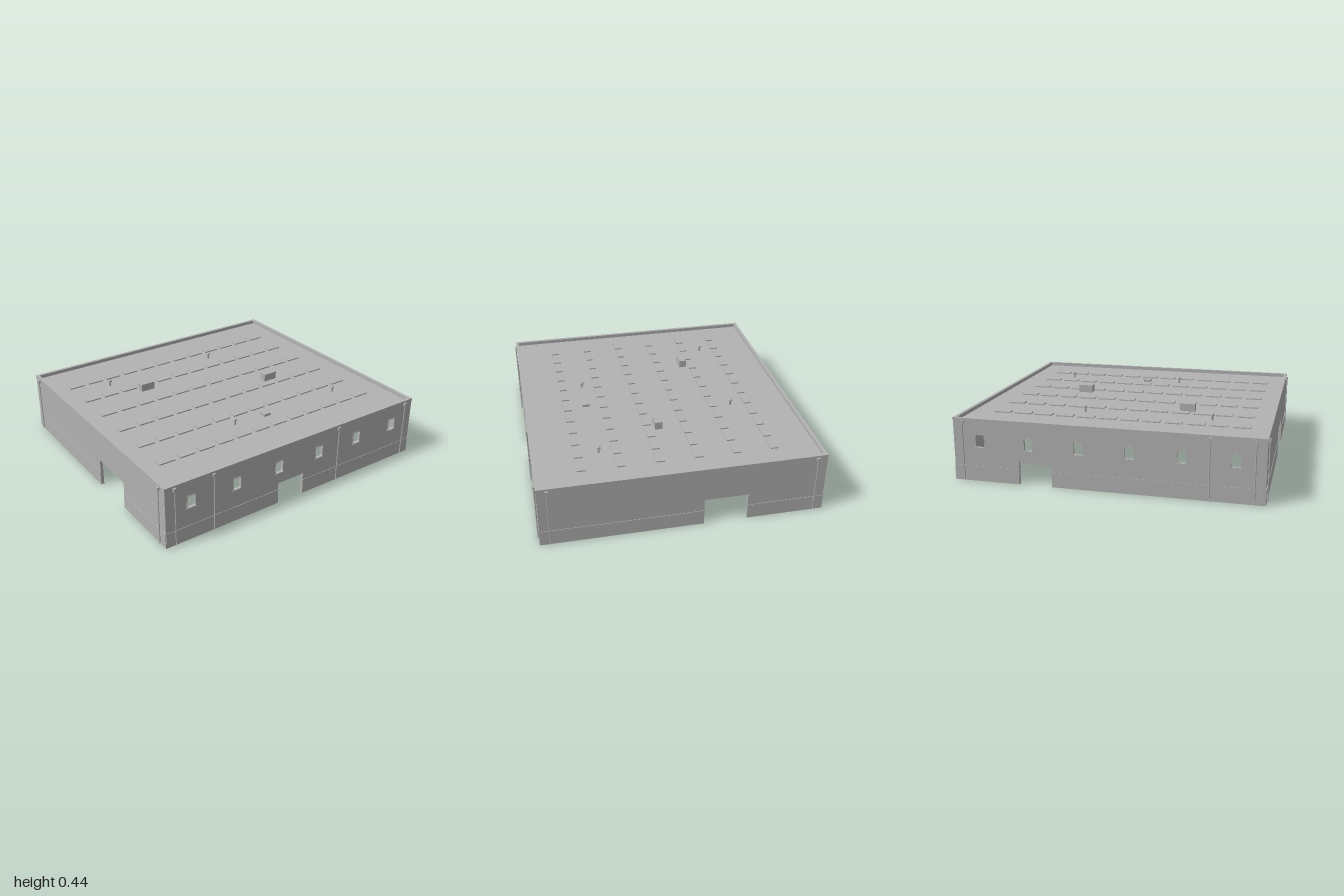
import * as THREE from 'three';

const X = 0.985, Z = 0.9, H = 0.41, T = 0.018, ROOF = 0.385;
const PITCH = 0.245;            // spacing of roof beams
const BAY = 0.323;              // spacing of windows
const concrete = new THREE.MeshStandardMaterial({ color: 0xb2b2b2 });
concrete.name = 'concrete grey';

function add(parent, name, geometry, x = 0, y = 0, z = 0) {
  const mesh = new THREE.Mesh(geometry, concrete);
  mesh.name = name;
  mesh.position.set(x, y, z);
  parent.add(mesh);
  return mesh;
}

// box given by its limits
function block(parent, name, x0, x1, y0, y1, z0, z1) {
  return add(parent, name, new THREE.BoxGeometry(x1 - x0, y1 - y0, z1 - z0),
    (x0 + x1) / 2, (y0 + y1) / 2, (z0 + z1) / 2);
}

const poly = (pts) => pts.map(([x, y]) => new THREE.Vector2(x, y));
const rect = (w, h, x = 0, y = 0) => poly([[x - w, y - h], [x + w, y - h], [x + w, y + h], [x - w, y + h]]);
const extrude = (shape, depth) => new THREE.ExtrudeGeometry(shape, { depth, bevelEnabled: false });

// opening with small cut corners
function windowOutline(x, y, w, h, c = 0.006) {
  return poly([[x - w + c, y - h], [x + w - c, y - h], [x + w, y - h + c], [x + w, y + h - c],
    [x + w - c, y + h], [x - w + c, y + h], [x - w, y + h - c], [x - w, y - h + c]]);
}

function downpipe(side, u, d) {
  const pipe = new THREE.Group();
  pipe.name = 'downpipe';
  pipe.position.set(u, 0, d);
  add(pipe, 'pipe', new THREE.CylinderGeometry(0.004, 0.004, 0.36, 8), 0, 0.2, 0.007);
  block(pipe, 'rainHead', -0.01, 0.01, 0.375, 0.395, 0, 0.012);
  const shoe = add(pipe, 'shoe', new THREE.CylinderGeometry(0.004, 0.004, 0.018, 8), 0, 0.014, 0.009);
  shoe.rotation.x = -0.4;
  side.add(pipe);
}

// One side of the hall; local x runs along the wall and local z points outwards
function buildSide(name, angle, half, d, door, windows, pipes, columns) {
  const side = new THREE.Group();
  side.name = name;
  side.rotation.y = angle;
  const [a, b, h] = door;
  const shape = new THREE.Shape(poly([[-half, 0], [a, 0], [a, h], [b, h], [b, 0], [half, 0], [half, H - 0.012], [-half, H - 0.012]]));
  for (const u of windows) shape.holes.push(new THREE.Path(windowOutline(u, 0.264, 0.029, 0.041)));
  add(side, 'wall', extrude(shape, T), 0, 0, d - T);

  // plinth on both sides of the door
  const end = half > Z ? half : Z;
  block(side, 'plinth', -end, a, 0, 0.1, d - 0.002, d + 0.003);
  block(side, 'plinth', b, end, 0, 0.1, d - 0.002, d + 0.003);
  block(side, 'doorLintel', a - 0.015, b + 0.015, h - 0.015, h + 0.01, d - T - 0.012, d - T + 0.005);

  // window surrounds and sills
  for (const u of windows) {
    const ring = new THREE.Shape(windowOutline(u, 0.264, 0.033, 0.045));
    ring.holes.push(new THREE.Path(windowOutline(u, 0.264, 0.028, 0.04)));
    add(side, 'windowFrame', extrude(ring, 0.005), 0, 0, d - 0.003);
    block(side, 'windowSill', u - 0.035, u + 0.035, 0.217, 0.223, d - 0.002, d + 0.005);
  }
  for (const u of pipes) downpipe(side, u, d);
  for (const u of columns) {
    // columns stop above the door where they would cross it
    const low = u > a - 0.01 && u < b + 0.01 ? h + 0.01 : 0;
    block(side, 'column', u - 0.008, u + 0.008, low, ROOF - 0.02, d - T - 0.018, d - T);
  }
  return side;
}

function buildRoof() {
  const roof = new THREE.Group();
  roof.name = 'roof';
  block(roof, 'roofSlab', -X + T, X - T, ROOF - 0.02, ROOF, -Z + T, Z - T);

  // parapet coping
  const ring = new THREE.Shape(rect(X + 0.002, Z + 0.002));
  ring.holes.push(new THREE.Path(rect(X - T - 0.002, Z - T - 0.002)));
  add(roof, 'parapetCoping', extrude(ring, 0.012), 0, H - 0.012, 0).rotation.x = -Math.PI / 2;

  // skylights in six rows
  for (let r = 0; r < 6; r++) {
    for (let i = 0; i < 12; i++) {
      const x = (i - 5.5) * 0.1425 - 0.02, z = (r - 2.5) * PITCH;
      block(roof, 'skylight', x - 0.055, x + 0.055, ROOF, ROOF + 0.008, z - 0.026, z + 0.026);
    }
  }

  // I-section beams under the roof
  for (let i = -2; i <= 2; i++) {
    const z = i * PITCH, e = X - T;
    block(roof, 'beamFlange', -e, e, 0.315, 0.322, z - 0.014, z + 0.014);
    block(roof, 'beamWeb', -e, e, 0.322, 0.366, z - 0.005, z + 0.005);
  }
  // light purlins across the beams
  for (let i = -5; i <= 5; i++) {
    const x = i * BAY / 2;
    block(roof, 'purlin', x - 0.004, x + 0.004, 0.355, 0.366, -Z + T, Z - T);
  }

  // ventilation units
  for (const [x, z] of [[-0.41, -0.3], [0.4, 0.055]]) {
    block(roof, 'ventilationUnit', x - 0.05, x + 0.05, ROOF, 0.437, z - 0.025, z + 0.025);
  }
  block(roof, 'roofHatch', 0.02, 0.07, ROOF, 0.402, 0.457, 0.507);

  // capped vent pipes
  for (const [x, z] of [[-0.6, -0.49], [0.24, -0.49], [-0.2, 0.48], [0.635, 0.48]]) {
    const profile = poly([[0.007, ROOF], [0.007, 0.413], [0.014, 0.416], [0.014, 0.424], [0.007, 0.431], [0, 0.432]]);
    const vent = add(roof, 'ventPipe', new THREE.LatheGeometry(profile, 12), x, 0, z);
    vent.geometry = vent.geometry.toNonIndexed();
    vent.geometry.computeVertexNormals();
  }
  return roof;
}

export function createModel() {
  const hall = new THREE.Group();
  hall.name = 'industrialHall';
  const windows = [-2.5, -1.5, -0.5, 0.5, 1.5, 2.5].map((i) => i * BAY);
  const bays = [-2, -1, 0, 1, 2].map((i) => i * BAY);
  const frames = [-2, -1, 0, 1, 2].map((i) => i * PITCH);
  hall.add(
    buildSide('frontSide', 0, X, Z, [-0.165, 0.035, 0.15], windows, [-0.92, -0.65, 0.32, 0.92], bays),
    buildSide('backSide', Math.PI, X, Z, [-0.55, -0.335, 0.15], windows, [-0.92, 0.65, 0.92], bays),
    buildSide('leftSide', Math.PI / 2, Z - T, X, [0.12, 0.4, 0.185], [], [-0.838, 0.838], frames),
    buildSide('rightSide', -Math.PI / 2, Z - T, X, [0.08, 0.4, 0.185], [], [-0.838, 0.838], frames),
    buildRoof(),
  );
  return hall;
}
